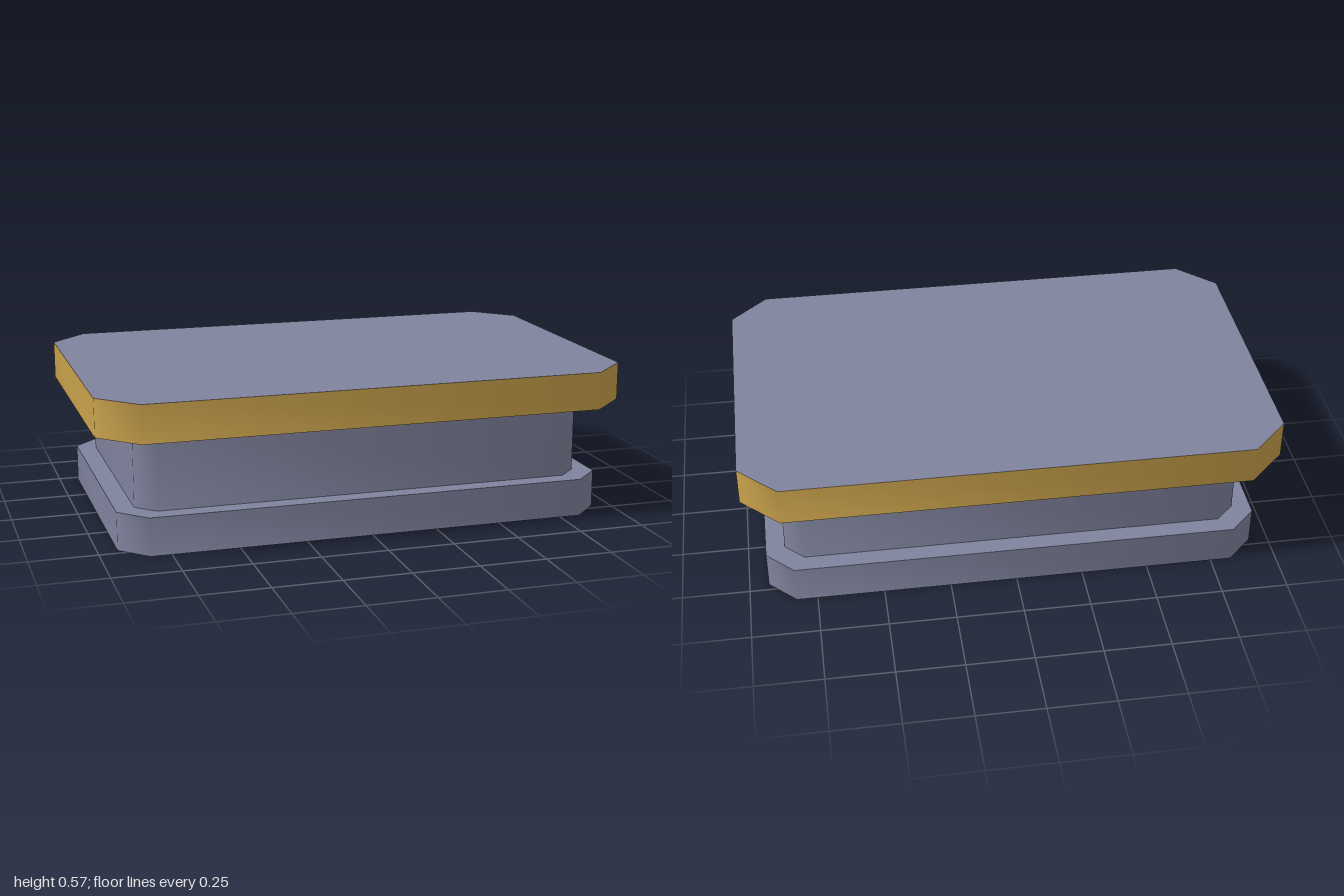
import * as THREE from 'three';
import { toCreasedNormals } from 'three/addons/utils/BufferGeometryUtils.js';

// Horizontal slab with cut corners, from y0 to y1; sides shade smoothly around the corners
function slab(name, halfX, halfZ, cut, y0, y1, material) {
  const shape = new THREE.Shape([
    [halfX - cut, -halfZ], [halfX, -halfZ + cut],
    [halfX, halfZ - cut], [halfX - cut, halfZ],
    [-halfX + cut, halfZ], [-halfX, halfZ - cut],
    [-halfX, -halfZ + cut], [-halfX + cut, -halfZ],
  ].map(([x, y]) => new THREE.Vector2(x, y)));
  let geometry = new THREE.ExtrudeGeometry(shape, { depth: y1 - y0, bevelEnabled: false });
  geometry.rotateX(-Math.PI / 2);
  geometry.translate(0, y0, 0);
  geometry = toCreasedNormals(geometry, Math.PI / 3);
  const mesh = new THREE.Mesh(geometry, material);
  mesh.name = name;
  return mesh;
}

export function createModel() {
  const slate = new THREE.MeshStandardMaterial({ color: 0x80839e });
  slate.name = 'slate';
  const gold = new THREE.MeshStandardMaterial({ color: 0xcaa24c });
  gold.name = 'gold';

  const group = new THREE.Group();
  group.name = 'pedestal';
  group.add(
    slab('base', 0.928, 0.57, 0.1, 0, 0.143, slate),
    slab('body', 0.857, 0.5, 0.07, 0.143, 0.43, slate),
    // Slate faces above and below, gold rim around the sides
    slab('topSlab', 1, 0.642, 0.14, 0.43, 0.572, [slate, gold]),
  );
  return group;
}
